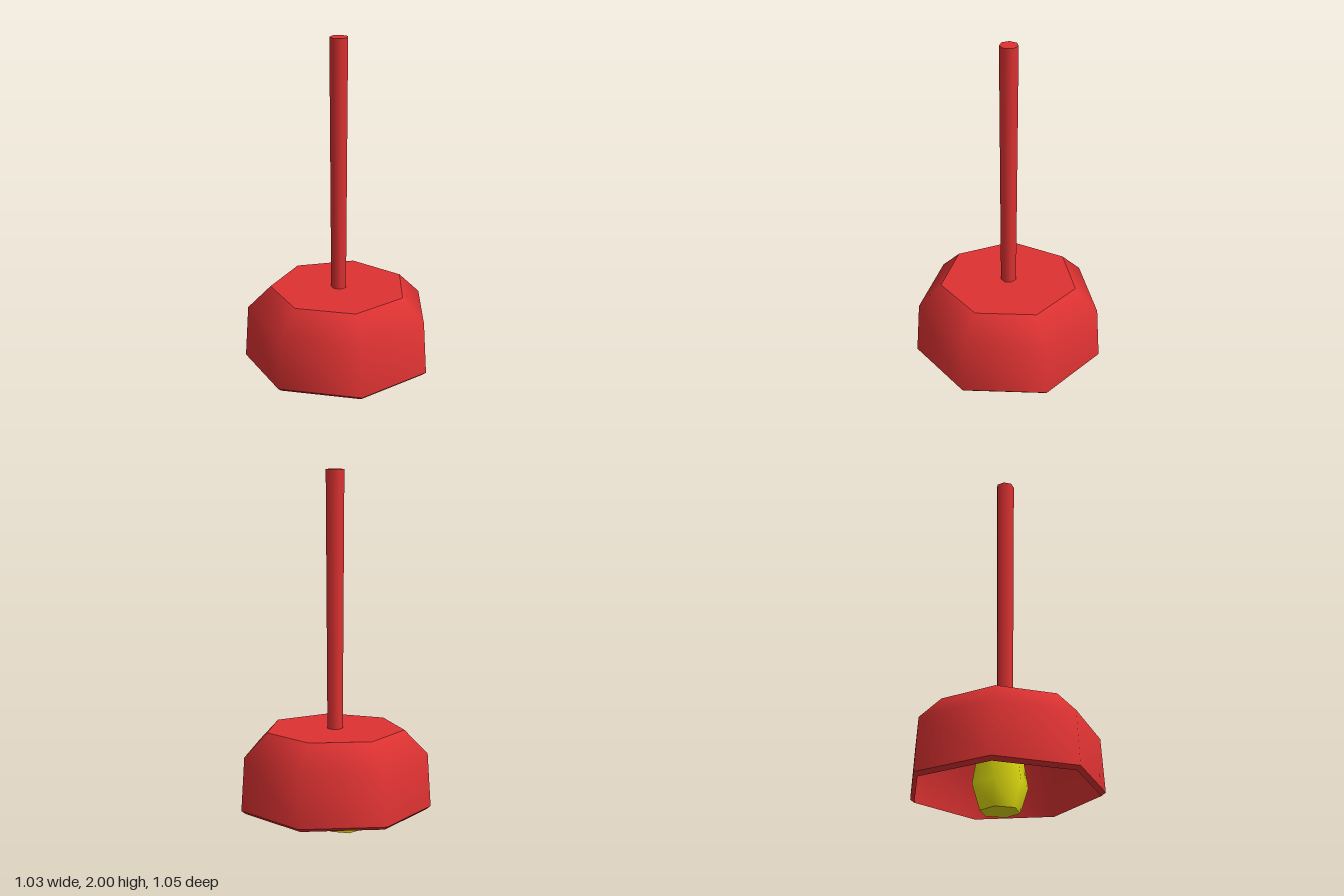
import * as THREE from 'three';

export function createModel() {
  const model = new THREE.Group();
  model.name = 'pendantLamp';

  const red = new THREE.MeshStandardMaterial({ color: 0xde3232 });
  red.name = 'red enamel';
  const yellow = new THREE.MeshStandardMaterial({ color: 0xe2de10 });
  yellow.name = 'yellow bulb';

  // Each section is a run of [radius, y]; normals are smooth within a section, sharp between sections.
  function turned(name, sections, sides, material, x, z) {
    const group = new THREE.Group();
    group.name = name;
    for (const [part, points] of Object.entries(sections)) {
      const profile = points.map(([r, y]) => new THREE.Vector2(r, y));
      // One corner points to -x
      const mesh = new THREE.Mesh(new THREE.LatheGeometry(profile, sides, -Math.PI / 2), material);
      mesh.name = part;
      group.add(mesh);
    }
    group.position.set(x, 0, z);
    model.add(group);
  }

  // Seven-sided hollow shade: outside runs upward, inside runs downward
  turned('shade', {
    shadeRim: [[0.515, 0.12], [0.54, 0.14]],
    shadeWall: [[0.54, 0.14], [0.52, 0.44], [0.39, 0.57]],
    shadeTop: [[0.39, 0.57], [0, 0.57]],
    shadeCeiling: [[0, 0.55], [0.375, 0.55]],
    shadeInside: [[0.375, 0.55], [0.5, 0.43], [0.515, 0.12]],
  }, 7, red, 0.027, 0);

  // Slightly tapered hanging rod
  turned('rod', {
    rodSide: [[0.044, 0.56], [0.052, 2]],
    rodTop: [[0.052, 2], [0, 2]],
  }, 7, red, 0.025, 0);

  // Six-sided bulb, a little behind the rod
  turned('bulb', {
    bulbBottom: [[0, 0], [0.109, 0]],
    bulbSide: [[0.109, 0], [0.152, 0.14], [0.115, 0.36], [0.085, 0.55]],
  }, 6, yellow, 0.003, -0.054);

  return model;
}
